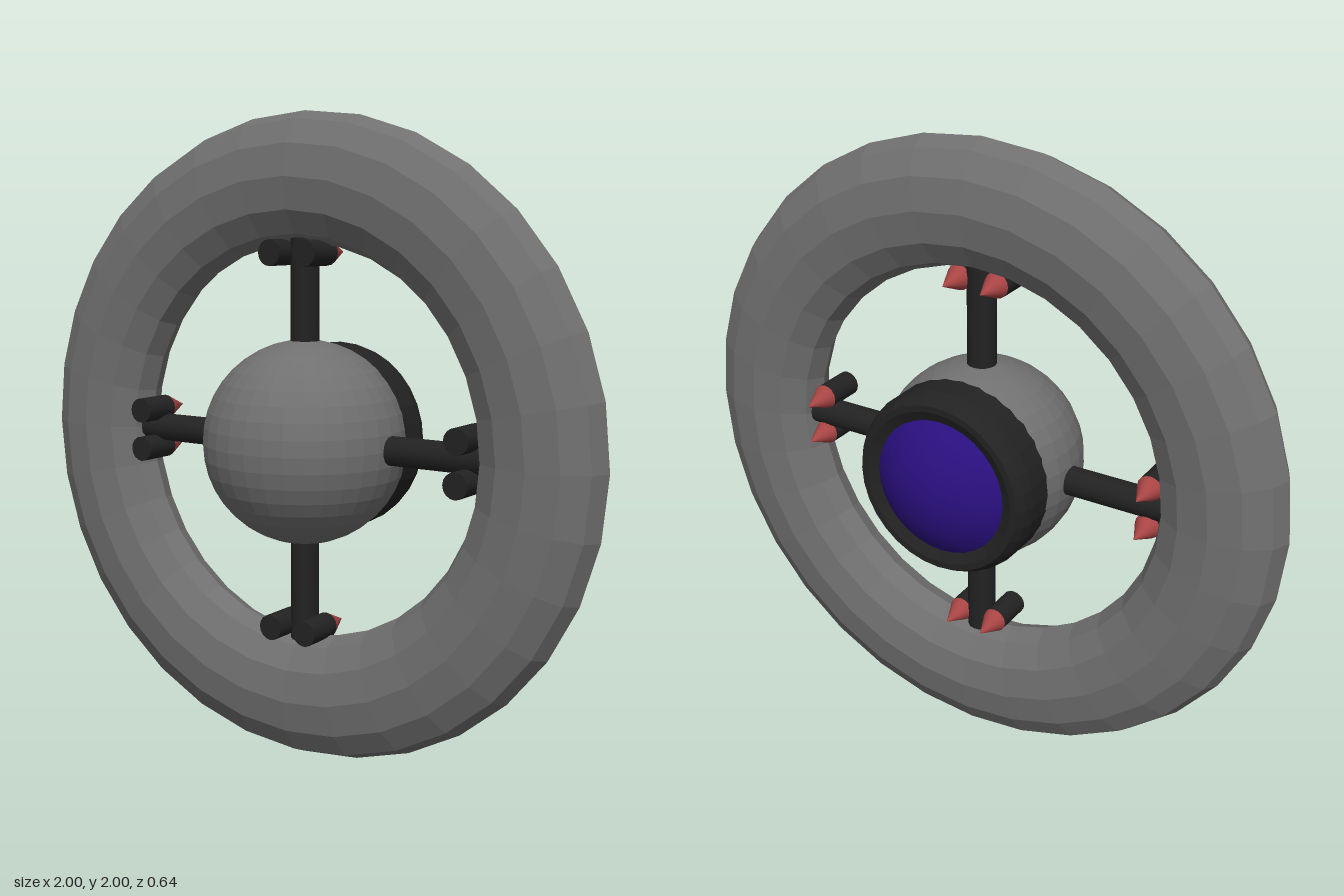
import * as THREE from 'three';

const material = (color, flatShading = false) =>
  new THREE.MeshStandardMaterial({ color, flatShading });

const grey = material(0x707070, true);
const dark = material(0x222222);
const darkFlat = material(0x222222, true);
const purple = material(0x2a1080);
const red = material(0xa84444);

function add(parent, name, geometry, mat, x = 0, y = 0, z = 0) {
  const mesh = new THREE.Mesh(geometry, mat);
  mesh.name = name;
  mesh.position.set(x, y, z);
  parent.add(mesh);
  return mesh;
}

// One spoke along +y, with two pointed studs at its outer end
function createSpoke() {
  const spoke = new THREE.Group();
  spoke.name = 'spoke';
  add(spoke, 'spokeBar', new THREE.CylinderGeometry(0.045, 0.045, 0.42, 16), dark, 0, 0.415, 0);
  for (const side of [-1, 1]) {
    const x = side * 0.063;
    const rod = new THREE.CylinderGeometry(0.04, 0.04, 0.125, 16).rotateX(-Math.PI / 2);
    const tip = new THREE.ConeGeometry(0.04, 0.09, 16).rotateX(-Math.PI / 2);
    add(spoke, 'studRod', rod, dark, x, 0.58, 0.0375);
    add(spoke, 'studTip', tip, red, x, 0.58, -0.07);
  }
  return spoke;
}

export function createModel() {
  const model = new THREE.Group();
  model.name = 'ringCraft';
  const body = new THREE.Group();
  body.name = 'body';
  body.position.y = 1;
  model.add(body);

  // Outer ring, flattened front to back
  const ring = new THREE.TorusGeometry(0.805, 0.195, 12, 32).scale(1, 1, 0.12 / 0.195);
  add(body, 'ring', ring, grey);

  // Central sphere
  add(body, 'core', new THREE.SphereGeometry(0.316, 32, 20), grey);

  // Collar behind the sphere, with a chamfered rim that dips in to the lens
  const profile = [
    [0.26, 0.08], [0.295, 0.1], [0.295, 0.2], [0.287, 0.23],
    [0.27, 0.257], [0.25, 0.257], [0.205, 0.235],
  ].map(([r, h]) => new THREE.Vector2(r, h));
  add(body, 'collar', new THREE.LatheGeometry(profile, 32).rotateX(-Math.PI / 2), darkFlat);

  // Domed lens
  const lens = new THREE.SphereGeometry(0.325, 32, 8, 0, Math.PI * 2, 0, 0.76);
  add(body, 'lens', lens.rotateX(-Math.PI / 2), purple);

  // Four spokes between sphere and ring
  for (let i = 0; i < 4; i++) {
    const spoke = createSpoke();
    spoke.rotation.z = (i * Math.PI) / 2;
    body.add(spoke);
  }
  return model;
}
